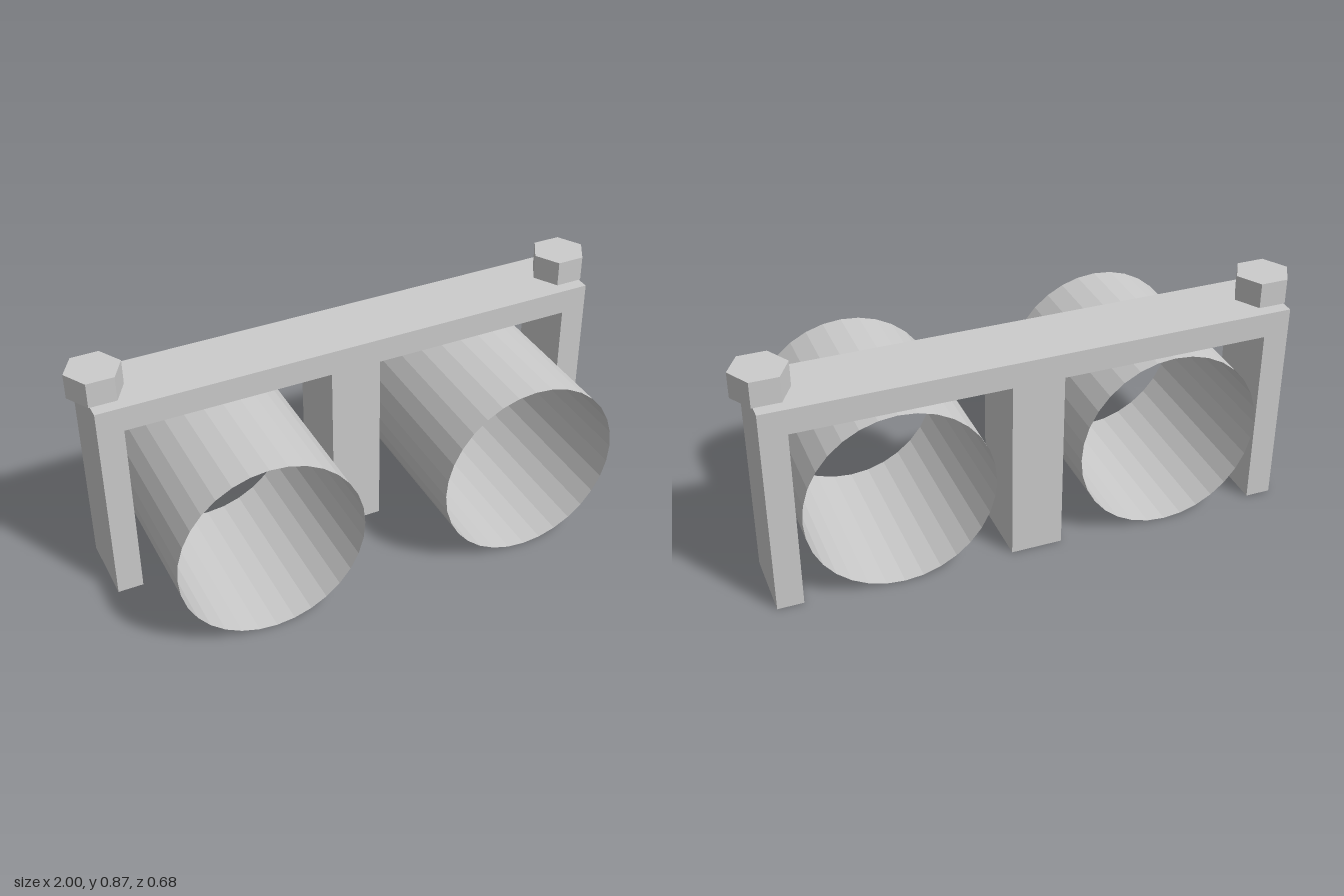
import * as THREE from 'three';

export function createModel() {
  const group = new THREE.Group();
  const solid = new THREE.MeshStandardMaterial({ color: 0xcccccc, flatShading: true });
  const thin = new THREE.MeshStandardMaterial({ color: 0xcccccc, flatShading: true, side: THREE.DoubleSide });

  function add(name, geometry, material, x, y, z) {
    const mesh = new THREE.Mesh(geometry, material);
    mesh.name = name;
    mesh.position.set(x, y, z);
    group.add(mesh);
  }

  // Bracket: a top bar with two outer legs and a wide middle leg
  const outline = [
    [-0.945, 0], [-0.852, 0], [-0.852, 0.685], [-0.095, 0.685], [-0.095, 0], [0.093, 0],
    [0.093, 0.685], [0.85, 0.685], [0.85, 0], [0.944, 0], [0.944, 0.777], [-0.945, 0.777],
  ].map(([x, y]) => new THREE.Vector2(x, y));
  const bracket = new THREE.ExtrudeGeometry(new THREE.Shape(outline), { depth: 0.267, bevelEnabled: false });
  add('bracket', bracket, solid, 0, 0, -0.328);

  // Open thin-walled pipes running front to back
  const pipe = new THREE.CylinderGeometry(0.34, 0.34, 0.68, 32, 1, true).rotateX(Math.PI / 2);
  add('rightPipe', pipe, thin, -0.5, 0.34, 0);
  add('leftPipe', pipe, thin, 0.494, 0.34, 0);

  // Hexagonal bolt heads, corners pointing sideways
  const bolt = new THREE.CylinderGeometry(0.1, 0.1, 0.093, 6).rotateY(Math.PI / 6);
  add('rightBoltHead', bolt, solid, -0.9, 0.8235, -0.195);
  add('leftBoltHead', bolt, solid, 0.9, 0.8235, -0.195);

  return group;
}
